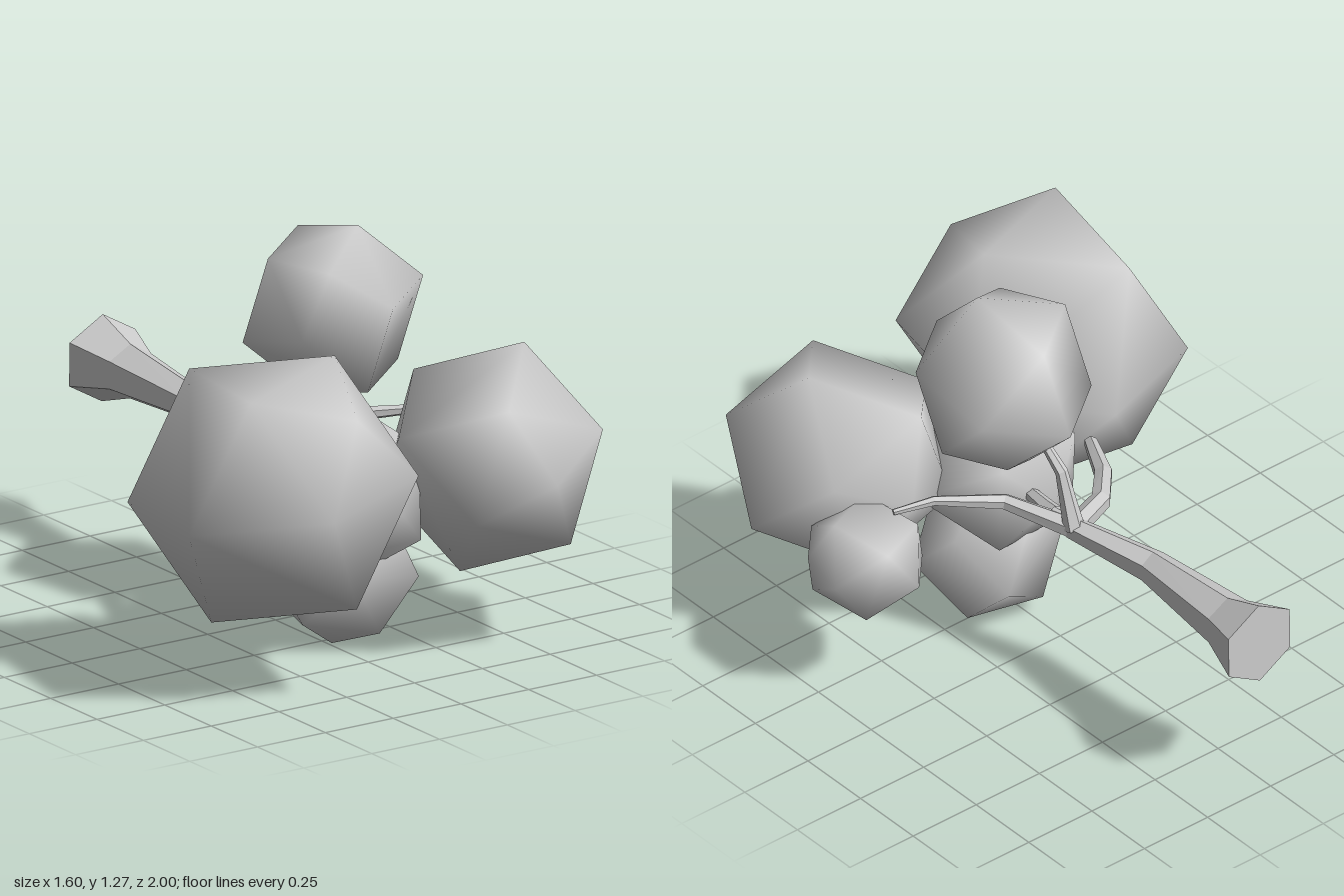
import * as THREE from 'three';

const V = (a) => new THREE.Vector3(...a);
const material = new THREE.MeshStandardMaterial({ color: 0xcccccc });

function buildMesh(name, verts, faces, flat) {
  let geo = new THREE.BufferGeometry().setFromPoints(verts);
  geo.setIndex(faces.flat());
  if (flat) geo = geo.toNonIndexed();
  geo.computeVertexNormals();
  const mesh = new THREE.Mesh(geo, material);
  mesh.name = name;
  return mesh;
}

// Coarse smooth ball: two poles, two rings of four and a four-point equator turned by 45 degrees
function ball(name, center, radius, poleDir, ringDir) {
  const c = V(center), P = V(poleDir).normalize();
  const X = V(ringDir).addScaledVector(P, -V(ringDir).dot(P)).normalize();
  const Y = P.clone().cross(X);
  const point = (elevation, azimuth) => c.clone()
    .addScaledVector(P, radius * Math.sin(elevation))
    .addScaledVector(X, radius * Math.cos(elevation) * Math.cos(azimuth))
    .addScaledVector(Y, radius * Math.cos(elevation) * Math.sin(azimuth));
  const q = Math.PI / 4;
  const verts = [c.clone().addScaledVector(P, radius * 0.97)];
  for (const [elevation, offset] of [[q, 0], [0, q], [-q, 0]]) {
    for (let k = 0; k < 4; k++) verts.push(point(elevation, offset + k * 2 * q));
  }
  verts.push(c.clone().addScaledVector(P, -radius * 0.97));
  const r = (k) => 1 + k % 4, e = (k) => 5 + (k + 4) % 4, b = (k) => 9 + k % 4;
  const faces = [];
  for (let k = 0; k < 4; k++) {
    faces.push([0, r(k), r(k + 1)], [r(k), e(k), r(k + 1)],
      [r(k), e(k - 1), e(k)], [b(k), e(k), e(k - 1)],
      [b(k), b(k + 1), e(k)], [13, b(k + 1), b(k)]);
  }
  return buildMesh(name, verts, faces, false);
}

// Tapered, faceted six-sided branch through [x, y, z, radius] stations
function branch(name, stations, up = [0, 1, 0]) {
  const n = 6, pts = stations.map((s) => V(s.slice(0, 3)));
  const last = pts.length - 1, verts = [], faces = [];
  pts.forEach((p, i) => {
    const T = pts[Math.min(i + 1, last)].clone().sub(pts[Math.max(i - 1, 0)]).normalize();
    const W = V(up).addScaledVector(T, -V(up).dot(T)).normalize();
    const U = W.clone().cross(T);
    for (let j = 0; j < n; j++) {
      const a = Math.PI / 2 + j / n * Math.PI * 2, rad = stations[i][3];
      verts.push(p.clone().addScaledVector(U, rad * Math.cos(a)).addScaledVector(W, rad * Math.sin(a)));
    }
  });
  for (let i = 0; i < last; i++) {
    for (let j = 0; j < n; j++) {
      const a = i * n + j, b = i * n + (j + 1) % n;
      faces.push([a, b, b + n], [a, b + n, a + n]);
    }
  }
  // End caps
  for (let j = 1; j < n - 1; j++) {
    faces.push([0, j + 1, j], [last * n, last * n + j, last * n + j + 1]);
  }
  return buildMesh(name, verts, faces, true);
}

export function createModel() {
  const group = new THREE.Group();
  group.name = 'leafClusterBranch';

  // Foliage balls: center, radius, pole direction, ring direction
  group.add(
    ball('largeRightFoliage', [-0.39, 0.648, 0.557], 0.448, [0.095, 0.277, 0.308], [-0.371, 0.195, -0.082]),
    ball('topFoliage', [0.15, 1.0, 0.09], 0.295, [-0.138, 0.19, 0.184], [0.18, 0.205, -0.064]),
    ball('leftFoliage', [0.433, 0.595, 0.535], 0.365, [0, 0, 1], [0.9, 0.44, 0]),
    ball('middleFoliage', [0.02, 0.51, 0.31], 0.3, [0.05, 0.05, 1], [0.7, 0.7, 0]),
    ball('bottomFoliage', [0.06, 0.235, 0.27], 0.24, [-0.2, -0.97, 0.06], [0.94, 0, -0.34]),
    ball('smallLeftFoliage', [0.615, 0.49, 0.19], 0.193, [0.91, 0.2, 0.36], [0.1, 0.17, 0.01]),
  );

  // Main stem, flared at the back
  group.add(branch('mainStem', [
    [0.045, 0.57, -1, 0.14], [0.045, 0.567, -0.85, 0.0875], [0.035, 0.56, -0.48, 0.055],
    [0.115, 0.585, -0.2, 0.037], [0.13, 0.6, -0.12, 0.03],
  ]));

  // Side twigs
  group.add(
    branch('rightTwig', [
      [0.11, 0.585, -0.2, 0.036], [-0.06, 0.56, -0.12, 0.033],
      [-0.17, 0.54, 0, 0.03], [-0.27, 0.51, 0.18, 0.022],
    ]),
    branch('topTwig', [
      [0.12, 0.59, -0.21, 0.034], [0.12, 0.68, -0.18, 0.026],
      [0.12, 0.77, -0.15, 0.02], [0.13, 0.86, -0.06, 0.014],
    ], [0, 0, 1]),
    branch('leftTwig', [
      [0.115, 0.585, -0.2, 0.035], [0.22, 0.62, 0, 0.026],
      [0.4, 0.64, 0.12, 0.016], [0.52, 0.625, 0.17, 0.01],
    ]),
    branch('middleTwig', [
      [0.115, 0.585, -0.2, 0.034], [0.09, 0.56, -0.05, 0.028], [0.06, 0.54, 0.1, 0.02],
    ]),
  );
  return group;
}
